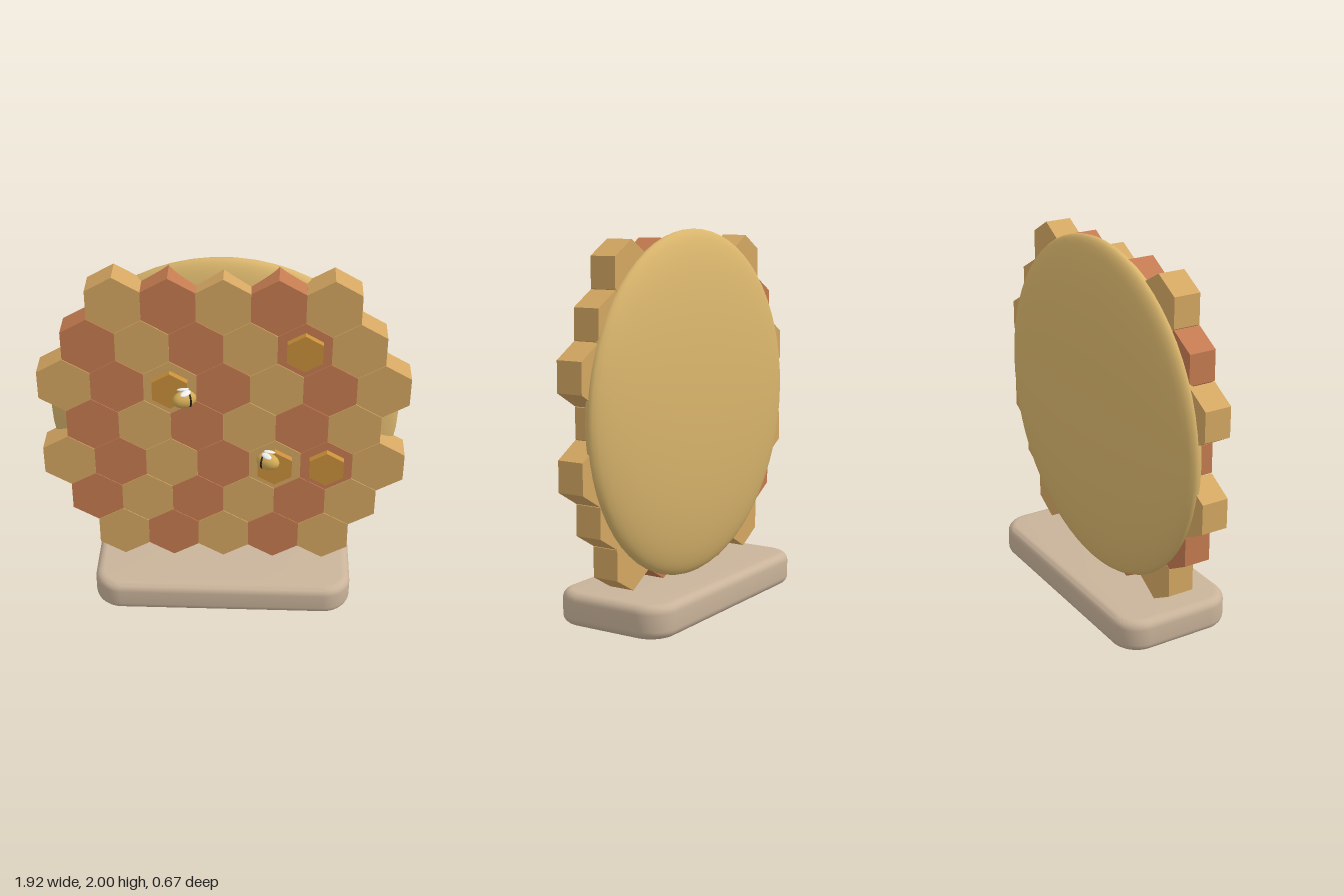
import * as THREE from 'three';
import { toCreasedNormals } from 'three/addons/utils/BufferGeometryUtils.js';

const mat = (color, flatShading = false) => new THREE.MeshStandardMaterial({ color, flatShading });

function add(parent, name, geometry, material, x = 0, y = 0, z = 0) {
  const mesh = new THREE.Mesh(geometry, material);
  mesh.name = name;
  mesh.position.set(x, y, z);
  parent.add(mesh);
  return mesh;
}

// Pointy-topped hexagonal prism facing +z
const hexPrism = (radius, depth) =>
  new THREE.CylinderGeometry(radius, radius, depth, 6).rotateX(Math.PI / 2);

// Rounded slab with softened top and bottom edges, lying flat
function slab(width, height, depth, corner, bevel) {
  const w = width / 2 - bevel, d = depth / 2 - bevel, r = corner - bevel;
  const s = new THREE.Shape();
  s.absarc(w - r, d - r, r, 0, Math.PI / 2);
  s.absarc(r - w, d - r, r, Math.PI / 2, Math.PI);
  s.absarc(r - w, r - d, r, Math.PI, Math.PI * 1.5);
  s.absarc(w - r, r - d, r, Math.PI * 1.5, Math.PI * 2);
  s.closePath();
  const g = new THREE.ExtrudeGeometry(s, {
    depth: height - 2 * bevel, bevelThickness: bevel, bevelSize: bevel, bevelSegments: 6, curveSegments: 10,
  });
  g.translate(0, 0, bevel).rotateX(-Math.PI / 2);
  return toCreasedNormals(g, 0.7);
}

function makeBee(name, x, y, z, turn) {
  const bee = new THREE.Group();
  bee.name = name;
  bee.position.set(x, y, z);
  bee.rotation.y = turn;
  const ball = new THREE.SphereGeometry(1, 20, 14);
  add(bee, 'beeBody', ball, mat(0xd4ac55)).scale.set(0.064, 0.046, 0.042);
  // Dark band around the body
  const stripe = add(bee, 'beeStripe', new THREE.TorusGeometry(0.041, 0.005, 8, 24), mat(0x2a2118), 0.022);
  stripe.rotation.y = Math.PI / 2;
  // Pair of pale wings on top
  for (const side of [-1, 1]) {
    const wing = add(bee, 'beeWing', ball, mat(0xf0eee8), 0, 0.048, side * 0.02);
    wing.scale.set(0.032, 0.008, 0.018);
    wing.rotation.set(side * 0.3, side * 0.35, 0);
  }
  return bee;
}

export function createModel() {
  const model = new THREE.Group();
  model.name = 'honeycombStand';

  add(model, 'base', slab(1.41, 0.175, 0.665, 0.15, 0.045), mat(0xc9b39a), 0, 0.005, 0);

  // Shallow dome behind the comb
  add(model, 'backDome', new THREE.SphereGeometry(1, 48, 32), mat(0xd9b56c), 0, 1.09, -0.073)
    .scale.set(0.92, 0.91, 0.148);

  // Comb cells in rows, alternating two colours
  const comb = new THREE.Group();
  comb.name = 'comb';
  model.add(comb);
  const cell = hexPrism(0.158, 0.145);
  const tan = mat(0xd4a762, true), clay = mat(0xc47b50, true);
  const stepX = 0.274, stepY = 0.24, topY = 1.8;
  [5, 6, 7, 6, 7, 6, 5].forEach((count, row) => {
    for (let i = 0; i < count; i++) {
      const isClay = (i + count) % 2 === 0;
      add(comb, 'cell', cell, isClay ? clay : tan, (i - (count - 1) / 2) * stepX, topY - row * stepY, 0.0025);
    }
  });

  // Raised honey caps: column in steps from the centre, row from the top
  const cap = hexPrism(0.105, 0.04);
  const honey = mat(0xc98f3a, true);
  for (const [col, row] of [[1.5, 1], [-1, 2], [1, 4], [2, 4]]) {
    add(comb, 'honeyCap', cap, honey, col * stepX, topY - row * stepY, 0.09);
  }

  model.add(makeBee('leftFacingBee', 0.237, 0.905, 0.132, Math.PI - 0.4));
  model.add(makeBee('rightFacingBee', -0.197, 1.29, 0.132, 0.4));
  return model;
}
